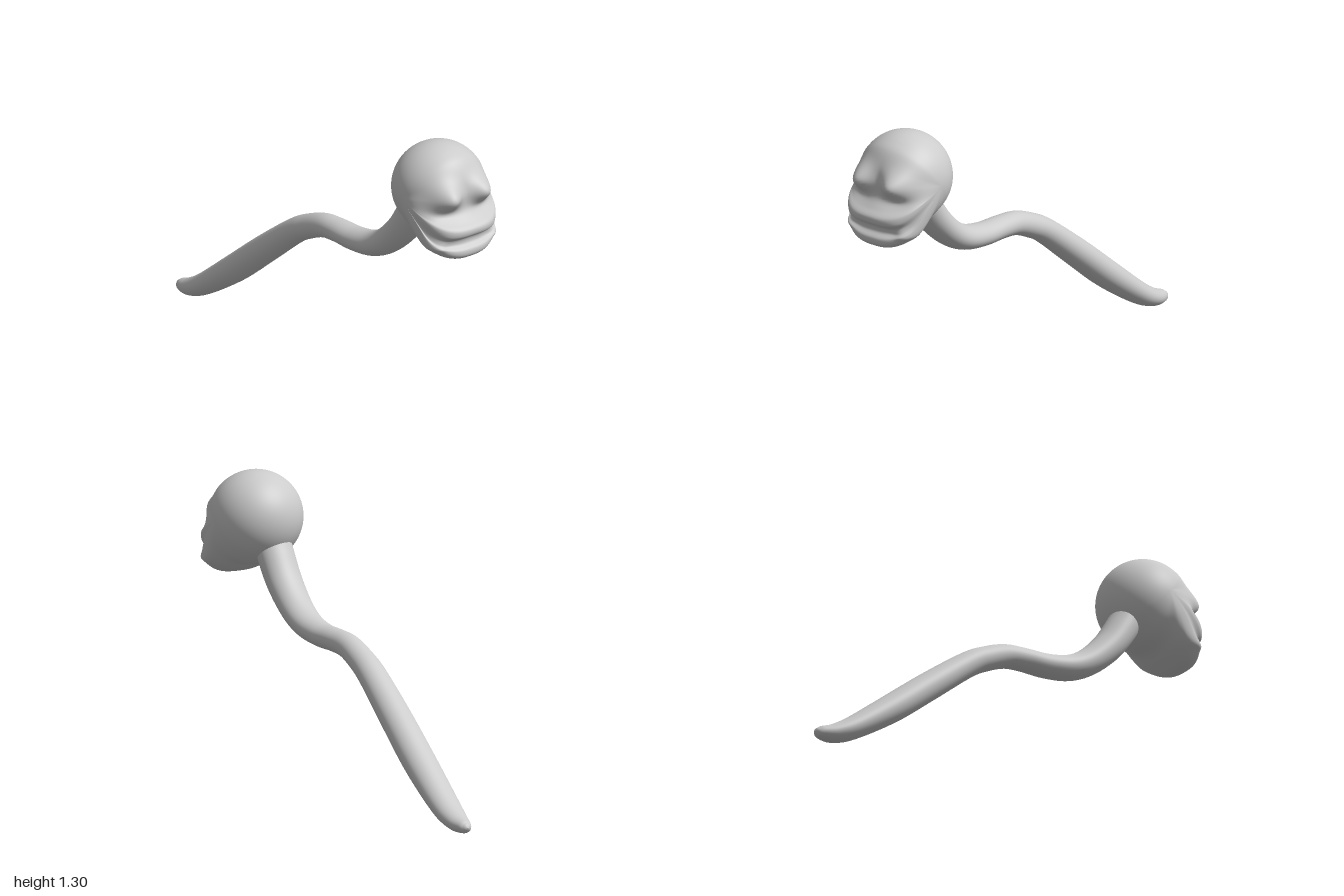
import * as THREE from 'three';
import { mergeVertices } from 'three/addons/utils/BufferGeometryUtils.js';

const V = (x, y, z) => new THREE.Vector3(x, y, z);

// Smooth skin over a row of closed rings with equal point counts
function skin(rings, name) {
  const n = rings[0].length;
  const index = [];
  for (let i = 0; i < rings.length - 1; i++) {
    for (let j = 0; j < n; j++) {
      const a = i * n + j, b = i * n + (j + 1) % n;
      index.push(a, b, a + n, b, b + n, a + n);
    }
  }
  let geo = new THREE.BufferGeometry().setFromPoints(rings.flat());
  geo.setIndex(index);
  geo = mergeVertices(geo, 1e-5);
  geo.computeVertexNormals();
  const mat = new THREE.MeshStandardMaterial({ color: 0xcccccc, side: THREE.DoubleSide });
  const mesh = new THREE.Mesh(geo, mat);
  mesh.name = name;
  return mesh;
}

const bump = (x, y, cx, cy, sx, sy) =>
  Math.exp(-(((x - cx) / sx) ** 2) - (((y - cy) / sy) ** 2));

// Head: a round skull whose middle profile carries brow, muzzle, mouth and jaw
function makeHead() {
  const cy = 1.11, cz = 0.745, halfWidth = 0.204;
  const profile = [];
  for (let a = 230; a >= 50; a -= 15) { // back of the skull, from nape to forehead
    const t = a * Math.PI / 180;
    profile.push(V(0, cy + 0.201 * Math.sin(t), cz + 0.201 * Math.cos(t)));
  }
  const face = [ // z, y
    [0.912, 1.20], [0.925, 1.14], [0.932, 1.07], [0.965, 1.025], [0.995, 0.995],
    [0.992, 0.968], [0.958, 0.945], [0.955, 0.92], [0.977, 0.895], [0.975, 0.868], [0.95, 0.85],
    [0.905, 0.845], [0.845, 0.868], [0.78, 0.9], [0.70, 0.91],
  ];
  face.forEach(([z, y]) => profile.push(V(0, y, z)));
  const curve = new THREE.CatmullRomCurve3(profile, true);

  const around = 180, across = 64, rings = [];
  const outline = Array.from({ length: around }, (_, j) => curve.getPoint(j / around));
  for (let i = 0; i <= across; i++) {
    const phi = (i / across - 0.5) * Math.PI;
    const s = Math.sin(phi), c = Math.max(0, Math.cos(phi));
    rings.push(outline.map((p) => {
      // the face is boxier than the skull
      const front = THREE.MathUtils.smoothstep(p.z - cz + Math.max(0, cy - p.y) * 0.4, 0, 0.22);
      const low = THREE.MathUtils.smoothstep(cy + 0.1 - p.y, 0, 0.15);
      const e = 1 - 0.25 * front * low;
      const k = i % across === 0 ? 0 : c ** e;
      const q = V(halfWidth * Math.sign(s) * Math.abs(s) ** e, cy + (p.y - cy) * k, cz + (p.z - cz) * k);
      if (q.z > cz + 0.04) {
        const fade = THREE.MathUtils.smoothstep(q.z, cz + 0.04, cz + 0.14);
        const ax = Math.abs(q.x);
        // swollen eyes, hollows under them, and the mouth closing at its corners
        q.z += fade * (0.062 * bump(ax, q.y, 0.095, 1.135, 0.06, 0.055)
          - 0.018 * bump(ax, q.y, 0.1, 1.055, 0.07, 0.03)
          + 0.016 * bump(ax, q.y, 0.15, 0.945, 0.04, 0.03));
        // frowning mouth line
        q.y -= fade * 0.9 * q.x * q.x * bump(0, q.y, 0, 0.95, 1, 0.05);
      }
      return q;
    }));
  }
  return skin(rings, 'head');
}

// Body: flattened tube that narrows at the bend and tapers to a blunt tip
function makeBody() {
  const stations = [ // z, y, half width, half thickness
    [0.66, 1.04, 0.083, 0.07], [0.61, 0.95, 0.083, 0.07], [0.54, 0.85, 0.081, 0.066],
    [0.44, 0.755, 0.076, 0.06], [0.34, 0.7, 0.071, 0.055], [0.22, 0.676, 0.065, 0.051],
    [0.1, 0.672, 0.06, 0.05], [0, 0.661, 0.057, 0.052], [-0.1, 0.622, 0.06, 0.054],
    [-0.2, 0.565, 0.065, 0.056], [-0.4, 0.41, 0.073, 0.062], [-0.6, 0.25, 0.076, 0.062],
    [-0.8, 0.106, 0.068, 0.05], [-0.9, 0.053, 0.054, 0.04], [-0.965, 0.038, 0.034, 0.029],
    [-0.99, 0.037, 0.018, 0.016], [-1, 0.037, 0, 0],
  ];
  const path = new THREE.CatmullRomCurve3(stations.map(([z, y]) => V(-0.022, y, z)), false, 'catmullrom');
  const size = new THREE.CatmullRomCurve3(stations.map(([, , w, h]) => V(w, h, 0)), false, 'catmullrom');
  const steps = 128, sides = 40, rings = [];
  for (let i = 0; i <= steps; i++) {
    const t = i / steps;
    const p = path.getPoint(t), r = size.getPoint(t), d = path.getTangent(t);
    const up = V(0, -d.z, d.y); // across the path, within the middle plane
    rings.push(Array.from({ length: sides }, (_, j) => {
      const a = -j / sides * Math.PI * 2;
      return p.clone().addScaledVector(up, r.y * Math.sin(a)).add(V(r.x * Math.cos(a), 0, 0));
    }));
  }
  return skin(rings, 'tailBody');
}

export function createModel() {
  const group = new THREE.Group();
  group.name = 'tadpoleCreature';
  group.add(makeHead(), makeBody());
  return group;
}
